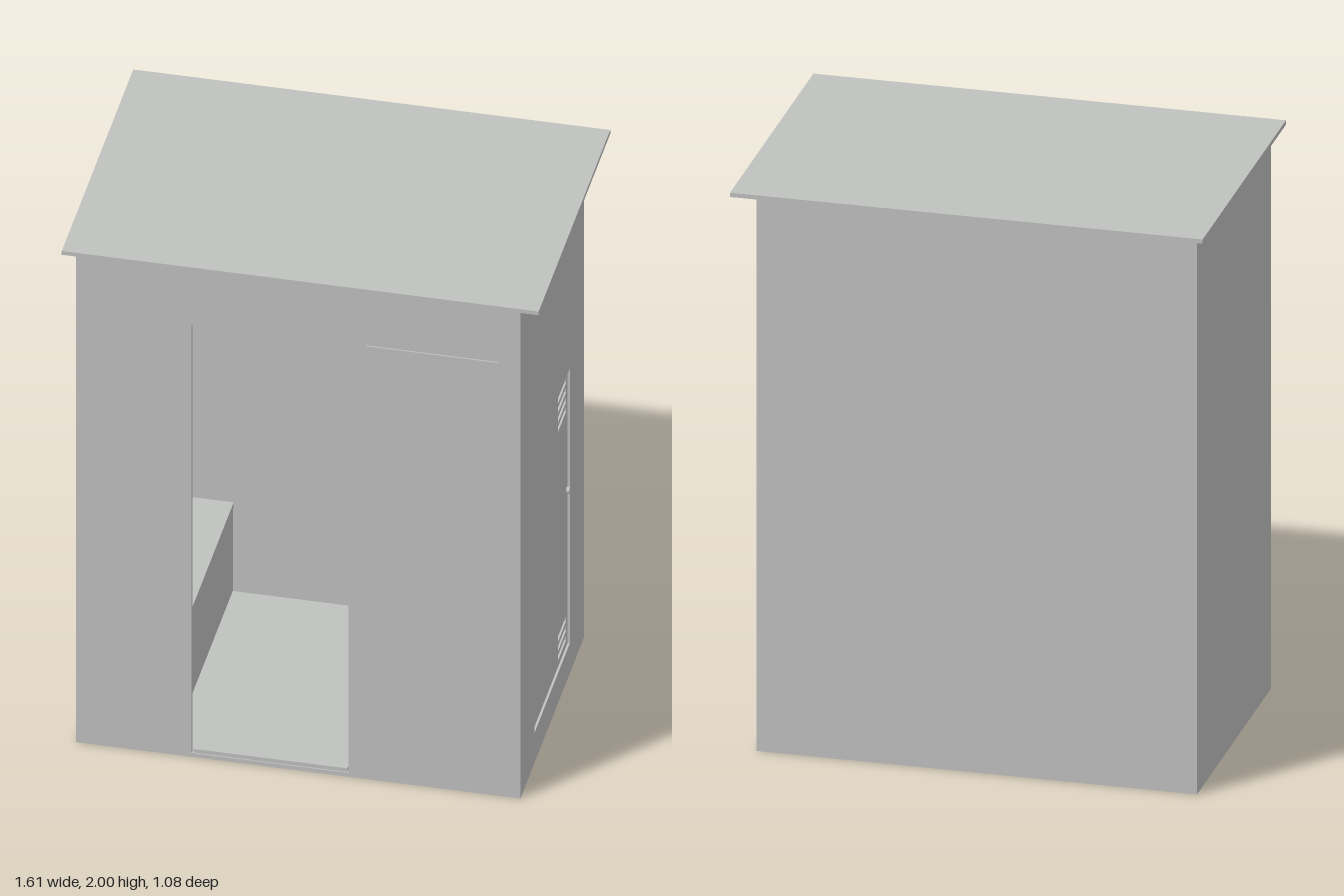
import * as THREE from 'three';

export function createModel() {
  const model = new THREE.Group();
  model.name = 'booth';
  const grey = new THREE.MeshStandardMaterial({ color: 0xc0c2c0 });
  grey.name = 'painted grey metal';

  const L = -0.77, R = 0.73, F = 0.48, B = -0.48, TOP = 1.985, T = 0.012;

  function add(geometry, name, parent = model) {
    const mesh = new THREE.Mesh(geometry, grey);
    mesh.name = name;
    parent.add(mesh);
    return mesh;
  }

  // box given by its extents
  function box(name, x0, x1, y0, y1, z0, z1, parent) {
    const g = new THREE.BoxGeometry(x1 - x0, y1 - y0, z1 - z0);
    g.translate((x0 + x1) / 2, (y0 + y1) / 2, (z0 + z1) / 2);
    return add(g, name, parent);
  }

  // upright sheet with rectangular holes, each [u0, u1, v0, v1]
  function sheet(u0, u1, v0, v1, holes, depth) {
    const trace = (p, a, b, c, d) =>
      p.moveTo(a, c).lineTo(b, c).lineTo(b, d).lineTo(a, d).closePath();
    const shape = trace(new THREE.Shape(), u0, u1, v0, v1);
    for (const h of holes) shape.holes.push(trace(new THREE.Path(), ...h));
    return new THREE.ExtrudeGeometry(shape, { depth, bevelEnabled: false });
  }

  // sheet facing +x, with u measured along -z
  function sideSheet(x, ...args) {
    return sheet(...args).rotateY(Math.PI / 2).translate(x, 0, 0);
  }

  // shell
  box('floor', L, R, 0, 0.015, B, F);
  box('backWall', L, R, 0.015, TOP, B, B + T);
  box('leftWall', L, L + T, 0.015, TOP, B + T, F - T);
  const front = sheet(L, R, 0.015, TOP, [[-0.38, 0.15, 0.0155, 1.73]], T);
  add(front.translate(0, 0, F - T), 'frontWall');
  add(sideSheet(R - T, -F + T, -B - T, 0.015, TOP, [[-0.27, 0.265, 0.12, 1.22]], T), 'rightWall');
  box('roof', -0.805, 0.805, TOP, 2, -0.54, 0.54);
  box('doorSill', -0.375, 0.145, 0.015, 0.03, F - 0.03, F - 0.004);

  // thin panel on the front wall
  box('frontPanel', 0.21, 0.655, 0.395, 1.735, F, F + 0.005);

  // recessed service door with louvre slots and lock
  const door = new THREE.Group();
  door.name = 'serviceDoor';
  model.add(door);
  const slots = [];
  for (const [bottom, count] of [[1.06, 4], [0.145, 3]]) {
    for (let i = 0; i < count; i++) {
      const y = bottom + i * 0.038;
      slots.push([0.12, 0.245, y, y + 0.021]);
    }
  }
  add(sideSheet(R - 0.02, -0.275, 0.27, 0.115, 1.225, slots, 0.012), 'doorLeaf', door);
  const lock = new THREE.CylinderGeometry(0.011, 0.011, 0.014, 12);
  lock.rotateZ(Math.PI / 2).translate(R - 0.004, 0.74, -0.255);
  add(lock, 'lock', door);

  // bench along the left wall
  const bench = new THREE.Group();
  bench.name = 'bench';
  model.add(bench);
  box('benchTop', L + T, -0.45, 0.35, 0.37, B + T, F - T, bench);
  box('benchFront', -0.465, -0.453, 0.015, 0.35, B + T, F - T, bench);

  // partition closing off the service compartment
  box('partition', 0.18, 0.192, 0.015, TOP, B + T, F - T);

  return model;
}
